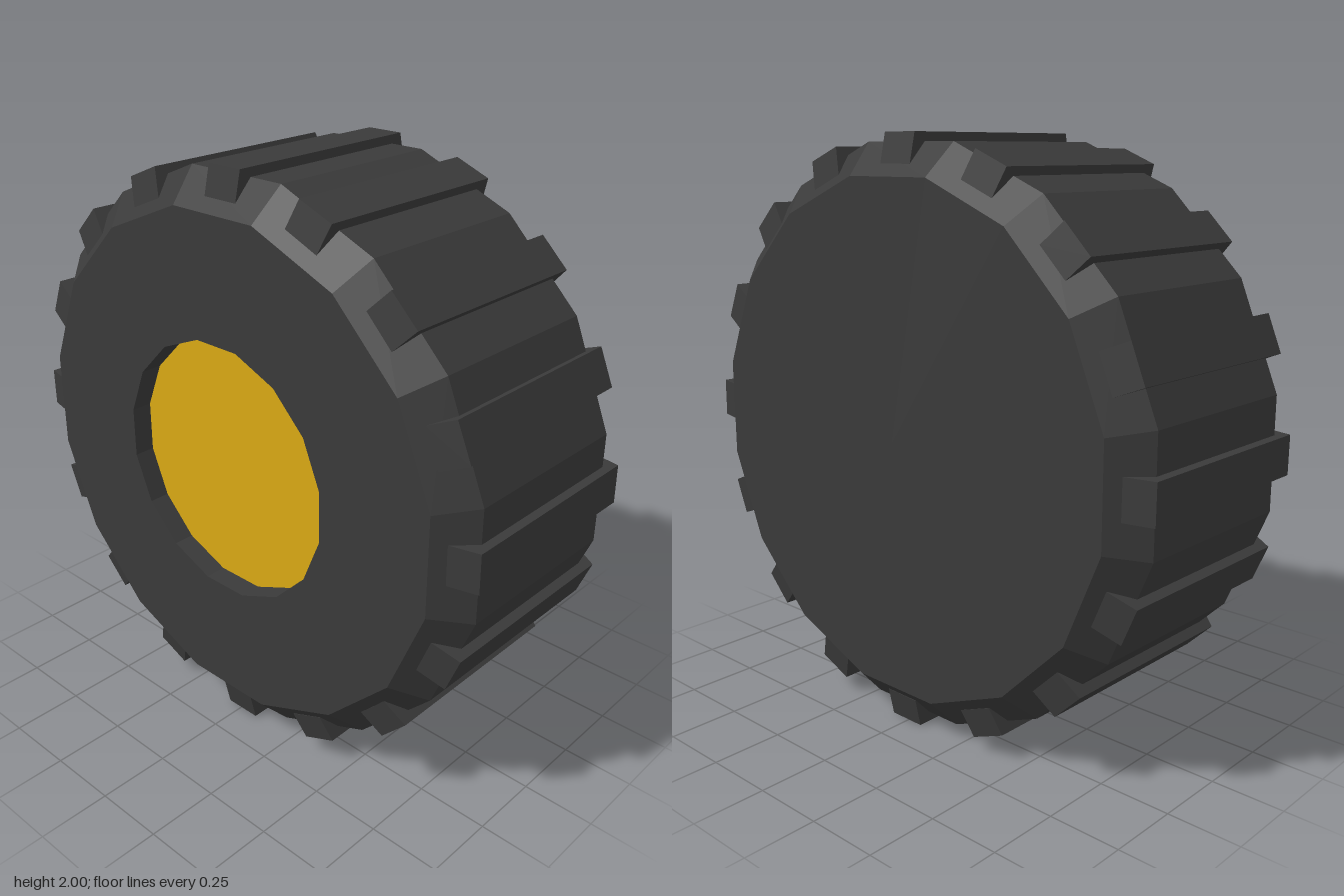
import * as THREE from 'three';

const SIDES = 16;
const HOLE = 0.451;          // radius of the hub recess
const RECESS_X = -0.355;     // floor of the recess
const BAR_STEP = THREE.MathUtils.degToRad(22.56);

const material = (color) => new THREE.MeshStandardMaterial({ color, flatShading: true });

export function createModel() {
  const wheel = new THREE.Group();
  wheel.name = 'wheel';
  wheel.position.y = 1;
  const rubber = material(0x3a3a3a);

  // Tyre: chamfered 16-sided body, closed on +x, with a recess on -x
  const profile = [
    [HOLE, RECESS_X], [HOLE, -0.43], [0.878, -0.43], [0.987, -0.327],
    [0.987, 0.327], [0.878, 0.43], [0, 0.43],
  ].map(([r, x]) => new THREE.Vector2(r, x));
  const tyre = new THREE.Mesh(new THREE.LatheGeometry(profile, SIDES, Math.PI / SIDES), rubber);
  tyre.name = 'tyre';
  tyre.rotation.z = -Math.PI / 2;
  tyre.position.y = 0.002;
  wheel.add(tyre);

  // Hub: coloured disc at the bottom of the recess
  const hub = new THREE.Mesh(new THREE.CircleGeometry(HOLE, SIDES, Math.PI / SIDES), material(0xd9a914));
  hub.name = 'hub';
  hub.rotation.y = -Math.PI / 2;
  hub.position.set(RECESS_X, 0.002, 0);
  wheel.add(hub);

  // Tread: bars with slanted ends, one per side of the tyre
  const outline = new THREE.Shape(
    [[-0.393, 0.9], [0.393, 0.9], [0.37, 1], [-0.37, 1]].map(([x, y]) => new THREE.Vector2(x, y)),
  );
  const barGeometry = new THREE.ExtrudeGeometry(outline, { depth: 0.134, bevelEnabled: false });
  barGeometry.translate(0, 0, -0.067);
  const tread = new THREE.Group();
  tread.name = 'tread';
  for (let i = 0; i < SIDES; i++) {
    const bar = new THREE.Mesh(barGeometry, rubber);
    bar.name = 'treadBar';
    bar.rotation.x = -i * BAR_STEP;
    tread.add(bar);
  }
  wheel.add(tread);

  const model = new THREE.Group();
  model.add(wheel);
  return model;
}
